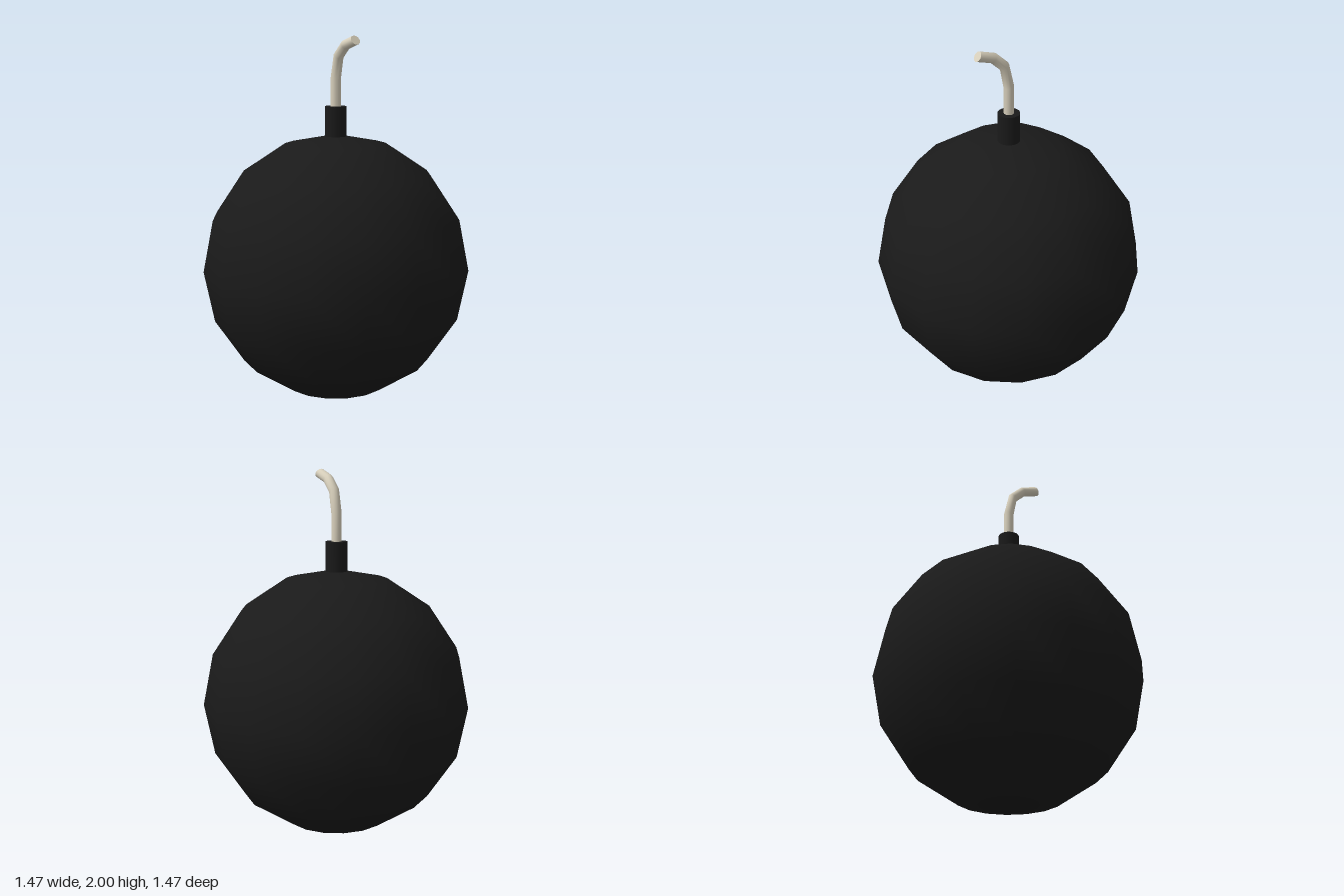
import * as THREE from 'three';

// Fuse stations: height, forward offset, tilt from vertical in degrees
const FUSE = [
  [1.52, 0, 0],
  [1.77, 0, 10],
  [1.89, 0.026, 38],
  [1.95, 0.09, 56],
  [1.977, 0.178, 58],
];

// Bend an upright cylinder so each of its rings sits on a station
function bentRod(stations, radius, sides) {
  const n = stations.length - 1;
  const geo = new THREE.CylinderGeometry(radius, radius, n, sides, n);
  const pos = geo.attributes.position;
  for (let i = 0; i < pos.count; i++) {
    const [y, z, tilt] = stations[Math.round(pos.getY(i) + n / 2)];
    const a = THREE.MathUtils.degToRad(tilt);
    const d = pos.getZ(i);
    pos.setXYZ(i, pos.getX(i), y - d * Math.sin(a), z + d * Math.cos(a));
  }
  geo.computeVertexNormals();
  return geo;
}

export function createModel() {
  const model = new THREE.Group();
  const black = new THREE.MeshStandardMaterial({ color: 0x1a1a1a });
  const cord = new THREE.MeshStandardMaterial({ color: 0xd8d0bc });

  const add = (name, geometry, material, y = 0) => {
    const mesh = new THREE.Mesh(geometry, material);
    mesh.name = name;
    mesh.position.y = y;
    model.add(mesh);
  };

  // Round body with a coarse outline and smooth shading
  add('body', new THREE.SphereGeometry(0.735, 16, 8), black, 0.735);

  // Short collar that holds the fuse
  add('collar', new THREE.CylinderGeometry(0.06, 0.06, 0.24, 16), black, 1.5);

  // Cord curling toward the front
  add('fuse', bentRod(FUSE, 0.028, 12), cord);

  return model;
}
